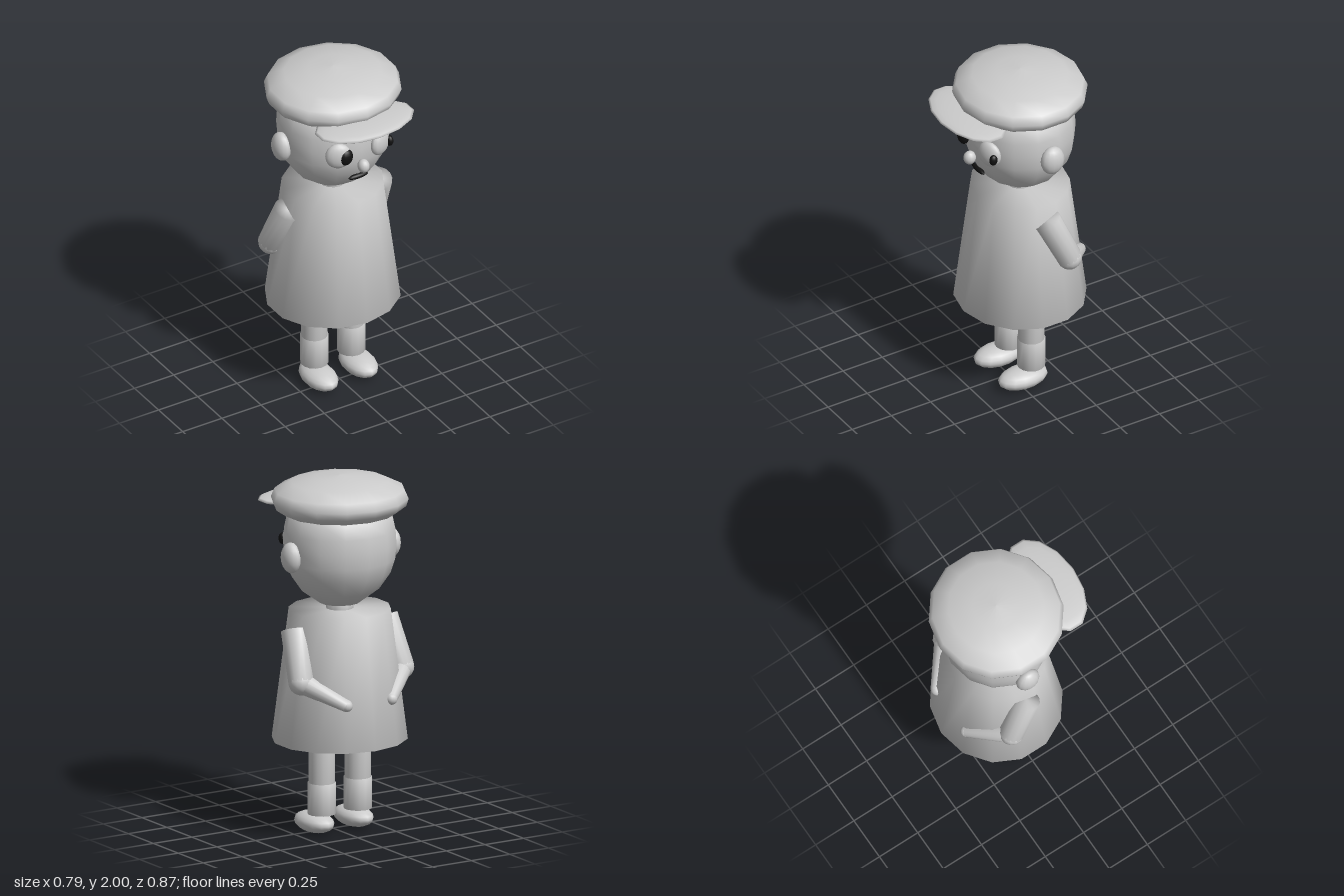
import * as THREE from 'three';
import { mergeVertices } from 'three/addons/utils/BufferGeometryUtils.js';

const SIDES = 14;
const AXIS_Z = -0.07; // body axis

export function createModel() {
  const model = new THREE.Group();
  model.name = 'cappedFigure';

  const grey = new THREE.MeshStandardMaterial({ color: 0xcccccc });
  grey.name = 'plainGrey';
  const black = new THREE.MeshStandardMaterial({ color: 0x111111 });
  black.name = 'black';

  const add = (name, geometry, material = grey) => {
    const mesh = new THREE.Mesh(geometry, material);
    mesh.name = name;
    model.add(mesh);
    return mesh;
  };

  // Weld corners so that shading runs smoothly over the rims
  const weld = (geometry) => {
    geometry.deleteAttribute('normal');
    geometry.deleteAttribute('uv');
    const welded = mergeVertices(geometry, 1e-4);
    welded.computeVertexNormals();
    return welded;
  };

  const ellipsoid = (name, center, radii, material = grey) => {
    const mesh = add(name, new THREE.SphereGeometry(1, SIDES, 10).rotateY(Math.PI / 2), material);
    mesh.position.set(...center);
    mesh.scale.set(...radii);
    return mesh;
  };

  // Cylinder or cone running from one point to another
  const limb = (name, from, to, rFrom, rTo) => {
    const a = new THREE.Vector3(...from);
    const b = new THREE.Vector3(...to);
    const dir = b.clone().sub(a);
    const mesh = add(name, weld(new THREE.CylinderGeometry(rTo, rFrom, dir.length(), SIDES)));
    mesh.position.copy(a).add(b).multiplyScalar(0.5);
    mesh.quaternion.setFromUnitVectors(new THREE.Vector3(0, 1, 0), dir.normalize());
    return mesh;
  };

  const lathe = (name, points, scaleX) => {
    const mesh = add(name, new THREE.LatheGeometry(points.map((p) => new THREE.Vector2(...p)), SIDES));
    mesh.position.z = AXIS_Z;
    mesh.scale.x = scaleX;
    return mesh;
  };

  // Smock, neck and head
  const smock = limb('smock', [0, 0.525, AXIS_Z], [0, 1.255, AXIS_Z], 0.36, 0.27);
  smock.scale.x = 1.05;
  limb('neck', [0, 1.2, AXIS_Z], [0, 1.32, AXIS_Z], 0.075, 0.075);
  lathe('head', [
    [0, 1.272], [0.11, 1.29], [0.21, 1.365], [0.27, 1.455], [0.295, 1.535],
    [0.302, 1.62], [0.297, 1.7], [0.28, 1.78], [0.2, 1.87], [0, 1.92],
  ], 1.04);

  // Flat cap with a visor
  lathe('cap', [
    [0, 1.77], [0.2, 1.775], [0.3, 1.793], [0.353, 1.83], [0.367, 1.872],
    [0.347, 1.92], [0.26, 1.965], [0.13, 1.99], [0, 2.0],
  ], 1.04);
  ellipsoid('visor', [0, 1.818, 0.26], [0.3, 0.028, 0.175]);

  // Face
  ellipsoid('nose', [0, 1.527, 0.25], [0.033, 0.04, 0.036]);
  ellipsoid('mouth', [0, 1.432, 0.195], [0.062, 0.015, 0.017], black);
  ellipsoid('rightPupil', [-0.1, 1.607, 0.23], [0.042, 0.05, 0.03], black);
  ellipsoid('leftPupil', [0.188, 1.607, 0.214], [0.02, 0.032, 0.024], black);

  for (const [side, s] of [['left', 1], ['right', -1]]) {
    const eye = ellipsoid(side + 'Eye', [0.133 * s, 1.612, 0.205], [0.073, 0.077, 0.037]);
    eye.rotation.y = 0.4 * s;
    ellipsoid(side + 'Ear', [0.322 * s, 1.58, -0.08], [0.05, 0.085, 0.07]);

    // Arms folded behind the back
    const shoulder = [0.288 * s, 1.165, -0.066];
    const elbow = [0.325 * s, 0.903, -0.185];
    const hand = [0.145 * s, 0.785, -0.362];
    limb(side + 'UpperArm', shoulder, elbow, 0.078, 0.07);
    ellipsoid(side + 'Elbow', elbow, [0.07, 0.07, 0.07]);
    limb(side + 'Forearm', elbow, hand, 0.06, 0.034);
    ellipsoid(side + 'Hand', hand, [0.034, 0.034, 0.034]);

    // Legs and shoes
    const x = 0.117 * s;
    limb(side + 'UpperLeg', [x, 0.27, AXIS_Z], [x, 0.62, AXIS_Z], 0.073, 0.073);
    limb(side + 'LowerLeg', [x, 0.115, AXIS_Z], [x, 0.29, AXIS_Z], 0.078, 0.078);
    ellipsoid(side + 'Shoe', [0.127 * s, 0.058, -0.011], [0.09, 0.058, 0.149]);
  }

  return model;
}
